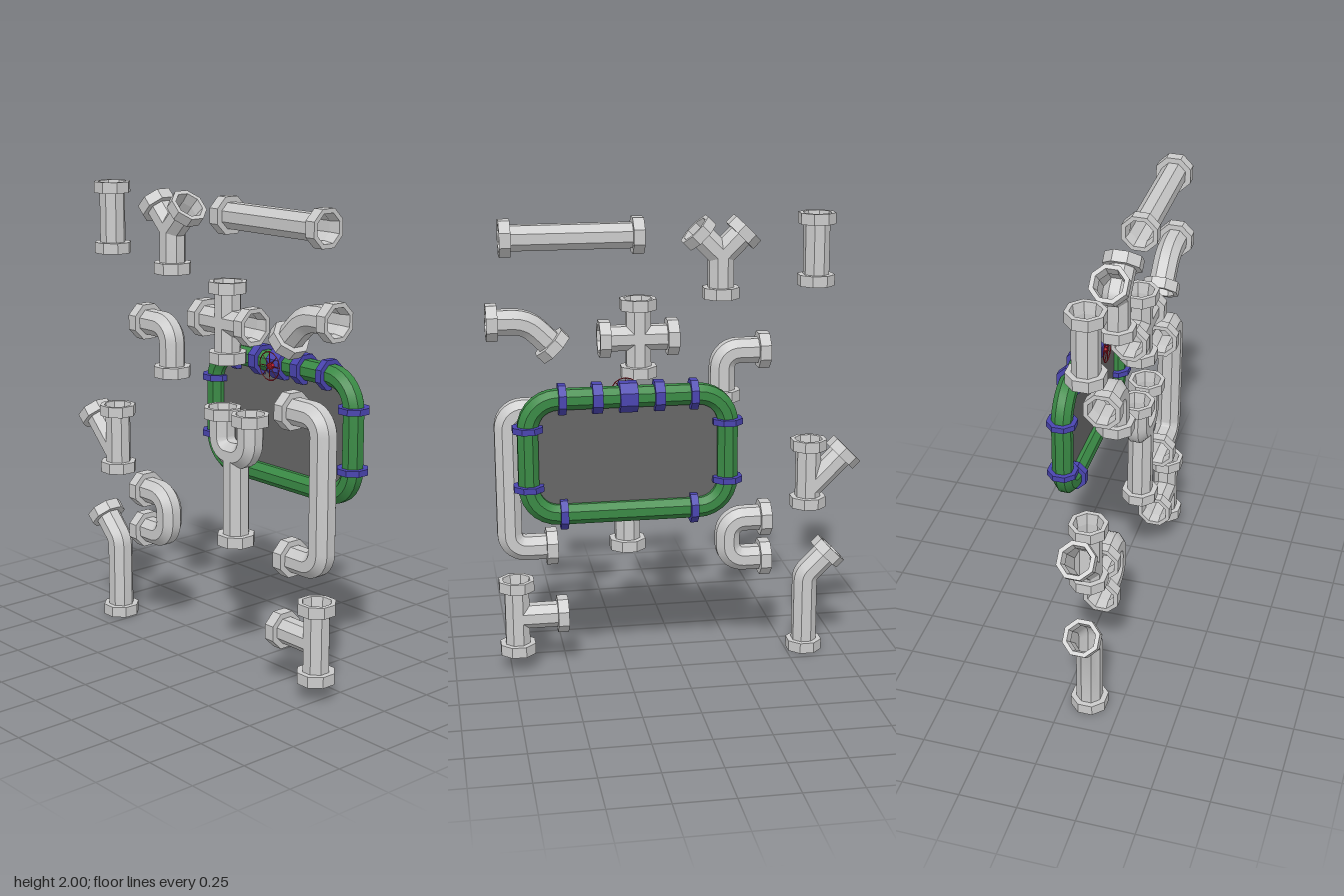
import * as THREE from 'three';
import { toCreasedNormals } from 'three/addons/utils/BufferGeometryUtils.js';

const OCT = 1 / Math.cos(Math.PI / 8); // flat-to-corner factor of an octagon
const V = (x, y) => new THREE.Vector2(x, y);
const mat = (color, side = THREE.FrontSide, flatShading = true) =>
  new THREE.MeshStandardMaterial({ color, side, flatShading });

const grey = mat(0xcccccc);
const greyTube = mat(0xcccccc, THREE.DoubleSide, false);
const green = mat(0x3a8a45, THREE.DoubleSide, false);
const blue = mat(0x4a45b0);
const red = mat(0xcc2233);
const dark = mat(0x666666, THREE.DoubleSide);

// Polyline with every corner replaced by an arc
function rounded(corners, radius, closed = false) {
  const n = corners.length, out = [];
  corners.forEach((c, i) => {
    if (!closed && (i === 0 || i === n - 1)) return out.push(c.clone());
    const a = corners[(i + n - 1) % n].clone().sub(c).normalize();
    const b = corners[(i + 1) % n].clone().sub(c).normalize();
    const half = Math.acos(THREE.MathUtils.clamp(a.dot(b), -1, 1)) / 2;
    const centre = c.clone().addScaledVector(a.clone().add(b).normalize(), radius / Math.sin(half));
    const from = c.clone().addScaledVector(a, radius / Math.tan(half)).sub(centre);
    const sweep = (Math.PI - 2 * half) * Math.sign(b.cross(a));
    const steps = Math.max(3, Math.round(Math.abs(sweep) / 0.22));
    for (let k = 0; k <= steps; k++)
      out.push(from.clone().rotateAround(V(0, 0), sweep * k / steps).add(centre));
  });
  return out;
}

// Octagonal tube along a flat path, mitred at each point
function octTube(pts, apothem, closed = false) {
  const n = pts.length, pos = [], index = [];
  pts.forEach((p, i) => {
    const prev = closed ? pts[(i + n - 1) % n] : pts[Math.max(i - 1, 0)];
    const next = closed ? pts[(i + 1) % n] : pts[Math.min(i + 1, n - 1)];
    const d1 = p.clone().sub(prev).normalize(), d2 = next.clone().sub(p).normalize();
    const t = d1.clone().add(d2).normalize();
    const mitre = 1 / t.dot(d2.lengthSq() ? d2 : d1);
    for (let k = 0; k < 8; k++) {
      const a = (k + 0.5) * Math.PI / 4;
      const u = Math.cos(a) * apothem * OCT * mitre;
      pos.push(p.x - t.y * u, p.y + t.x * u, Math.sin(a) * apothem * OCT);
    }
  });
  for (let i = 0; i < (closed ? n : n - 1); i++)
    for (let k = 0; k < 8; k++) {
      const a = i * 8 + k, b = i * 8 + (k + 1) % 8;
      const c = ((i + 1) % n) * 8 + k, d = ((i + 1) % n) * 8 + (k + 1) % 8;
      index.push(a, b, c, b, d, c);
    }
  const g = new THREE.BufferGeometry();
  g.setAttribute('position', new THREE.Float32BufferAttribute(pos, 3));
  g.setIndex(index);
  return toCreasedNormals(g, Math.PI / 6);
}

// Octagonal ring along y, from y = -length to y = 0
function octRing(outer, innerFront, innerBack, length) {
  const profile = [[innerBack, -length], [outer, -length], [outer, 0], [innerFront, 0], [innerBack, -length]];
  return new THREE.LatheGeometry(profile.map(([r, y]) => V(r * OCT, y)), 8, Math.PI / 8);
}

function add(parent, name, geometry, material) {
  const mesh = new THREE.Mesh(geometry, material);
  mesh.name = name;
  parent.add(mesh);
  return mesh;
}

const PIPE = 0.053, COLLAR = 0.048;
const collarGeometry = octRing(0.076, 0.058, PIPE - 0.002, COLLAR);

// One pipe run; a collar sits on each end that is open
function run(group, coords, radius = 0.07, startCollar = true, endCollar = true) {
  const c = coords.map(([x, y]) => V(x, y));
  const cap = (end, inner) => {
    const dir = end.clone().sub(inner).normalize();
    const collar = add(group, 'collar', collarGeometry, grey);
    collar.position.set(end.x, end.y, 0);
    collar.rotation.z = Math.atan2(dir.y, dir.x) - Math.PI / 2;
    end.addScaledVector(dir, -COLLAR + 0.004);
  };
  if (startCollar) cap(c[0], c[1]);
  if (endCollar) cap(c[c.length - 1], c[c.length - 2]);
  add(group, 'pipe', octTube(rounded(c, radius), PIPE), greyTube);
}

// Fittings: each is a list of runs [points, bend radius, collar at start, collar at end]
const FITTINGS = {
  shortStraight: [[[[-0.606, 1.686], [-0.606, 2]]]],
  longStraight: [[[[0.146, 1.923], [0.754, 1.923]]]],
  wyeFitting: [
    [[[-0.302, 1.942], [-0.188, 1.828], [-0.188, 1.643]], 0.01],
    [[[-0.074, 1.942], [-0.188, 1.828], [-0.188, 1.643]], 0.01, true, false],
  ],
  crossFitting: [
    [[[0.17, 1.313], [0.17, 1.653]]],
    [[[0, 1.483], [0.341, 1.483]]],
  ],
  shallowBend: [[[[0.521, 1.444], [0.646, 1.569], [0.818, 1.569]], 0.14]],
  elbow: [[[[-0.4, 1.41], [-0.195, 1.41], [-0.195, 1.193]]]],
  lateralFitting: [
    [[[-0.59, 0.685], [-0.59, 0.997]]],
    [[[-0.767, 0.944], [-0.59, 0.767]], 0, true, false],
  ],
  returnBend: [[[[-0.415, 0.643], [-0.225, 0.643], [-0.225, 0.458], [-0.415, 0.458]]]],
  longBend: [[[[-0.706, 0.479], [-0.585, 0.358], [-0.585, 0]], 0.06]],
  teeFitting: [
    [[[0.72, 0.071], [0.72, 0.415]]],
    [[[0.495, 0.241], [0.72, 0.241]], 0, true, false],
  ],
  longReturn: [[[[0.537, 1.18], [0.743, 1.18], [0.743, 0.563], [0.537, 0.563]]]],
  forkFitting: [
    [[[0.138, 1.119], [0.138, 0.928], [0.312, 0.928], [0.312, 1.119]]],
    [[[0.225, 0.537], [0.225, 0.928]], 0, true, false],
  ],
};

function createFrame() {
  const frame = new THREE.Group();
  frame.name = 'pipeFrame';
  const W = 0.422, H = 0.249;
  const loop = rounded([V(-W, -H), V(W, -H), V(W, H), V(-W, H)], 0.125, true);
  add(frame, 'frameTube', octTube(loop, 0.043, true), green);
  add(frame, 'panel', new THREE.ShapeGeometry(new THREE.Shape(loop)), dark);

  // Bands clamped round the tube
  const band = (x, y, width, along) => {
    const g = octRing(0.0625, 0.04, 0.04, width).translate(0, width / 2, 0);
    const m = add(frame, 'band', g, blue);
    m.position.set(x, y, 0);
    if (along) m.rotation.z = Math.PI / 2;
  };
  for (const s of [-1, 1]) {
    for (const t of [-1, 1]) {
      band(s * 0.277, t * H, 0.032, true);
      band(s * W, t * 0.127, 0.026, false);
    }
    band(s * 0.13, H, 0.042, true);
  }
  band(0, H, 0.075, true);

  // Valve handwheel on the top tube
  const wheel = new THREE.Group();
  wheel.name = 'handwheel';
  wheel.position.set(0, H, 0.076);
  add(wheel, 'rim', new THREE.TorusGeometry(0.061, 0.0025, 4, 16), red);
  for (let i = 0; i < 4; i++)
    add(wheel, 'spoke', new THREE.CylinderGeometry(0.002, 0.002, 0.12, 4), red).rotation.z = i * Math.PI / 4;
  const stem = add(wheel, 'stem', new THREE.CylinderGeometry(0.015, 0.015, 0.025, 8), red);
  stem.rotation.x = Math.PI / 2;
  stem.position.z = -0.011;
  frame.add(wheel);
  return frame;
}

export function createModel() {
  const model = new THREE.Group();
  model.name = 'pipeSet';
  for (const [name, runs] of Object.entries(FITTINGS)) {
    const fitting = new THREE.Group();
    fitting.name = name;
    fitting.position.z = 0.113;
    runs.forEach((r) => run(fitting, ...r));
    model.add(fitting);
  }
  const frame = createFrame();
  frame.position.set(0.249, 1.037, -0.1255);
  model.add(frame);
  return model;
}
